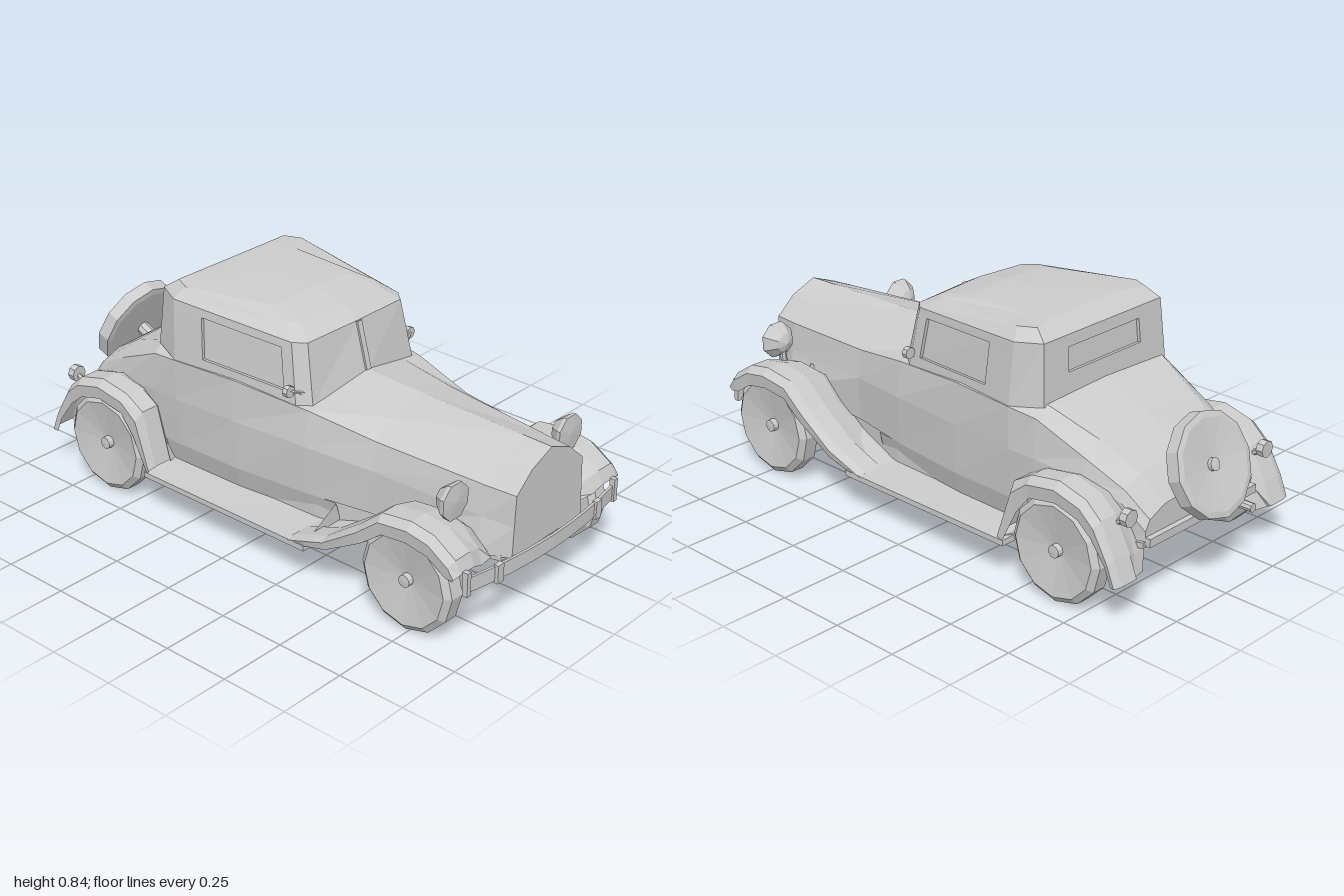
import * as THREE from 'three';

const mat = new THREE.MeshStandardMaterial({ color: 0xcccccc, flatShading: true, side: THREE.DoubleSide });
const V = (p) => new THREE.Vector3(...p);

function add(parent, name, geo, pos = [0, 0, 0], rot = [0, 0, 0]) {
  const m = new THREE.Mesh(geo, mat);
  m.name = name;
  m.position.set(...pos);
  m.rotation.set(...rot);
  parent.add(m);
  return m;
}

// Flat-shaded geometry from a list of quads (four corners each)
function quadGeometry(quads) {
  const pts = quads.flatMap(([a, b, c, d]) => [a, b, c, a, c, d]);
  const g = new THREE.BufferGeometry().setFromPoints(pts);
  g.computeVertexNormals();
  return g;
}

// Skin over rows of points, optionally closing both ends with fans
function loft(rows, capped = false) {
  const r = rows.map((row) => row.map(V));
  const quads = [];
  for (let i = 0; i < r.length - 1; i++)
    for (let j = 0; j < r[i].length - 1; j++)
      quads.push([r[i][j], r[i + 1][j], r[i + 1][j + 1], r[i][j + 1]]);
  if (capped) {
    for (const [row, flip] of [[r[0], false], [r[r.length - 1], true]])
      for (let j = 1; j < row.length - 1; j++) {
        const t = flip ? [row[0], row[j + 1], row[j]] : [row[0], row[j], row[j + 1]];
        quads.push([...t, t[2]]);
      }
  }
  return quadGeometry(quads);
}

// Half section (+x, bottom to top centre) mirrored into a full one
const fullSection = (z, half) => [
  ...half.map(([x, y]) => [x, y, z]),
  ...half.slice(0, -1).reverse().map(([x, y]) => [-x, y, z]),
];

// Quad panel with a recessed window; u, v give the opening
function windowPanel(a, b, c, d, [u0, u1, v0, v1], depth = 0.012) {
  const n = b.clone().sub(a).cross(d.clone().sub(a)).normalize().multiplyScalar(-depth);
  const P = (u, v) => a.clone().lerp(b, u).lerp(d.clone().lerp(c, u), v);
  const us = [0, u0, u1, 1], vs = [0, v0, v1, 1], out = [];
  for (let i = 0; i < 3; i++)
    for (let j = 0; j < 3; j++)
      if (i !== 1 || j !== 1)
        out.push([P(us[i], vs[j]), P(us[i + 1], vs[j]), P(us[i + 1], vs[j + 1]), P(us[i], vs[j + 1])]);
  const rim = [P(u0, v0), P(u1, v0), P(u1, v1), P(u0, v1)];
  const pane = rim.map((p) => p.clone().add(n));
  rim.forEach((p, i) => out.push([p, rim[(i + 1) % 4], pane[(i + 1) % 4], pane[i]]));
  out.push(pane);
  return out;
}

// Rod between two points
function rod(parent, name, p, q, radius, sides = 6) {
  const a = V(p), b = V(q), dir = b.clone().sub(a);
  const m = add(parent, name, new THREE.CylinderGeometry(radius, radius, dir.length(), sides));
  m.position.copy(a).add(b).multiplyScalar(0.5);
  m.quaternion.setFromUnitVectors(new THREE.Vector3(0, 1, 0), dir.normalize());
}

// Dished wheel; tread is the flat share of the tyre width
function wheelGeometry(r, w, tread) {
  const profile = [[0, -w], [r * 0.88, -w], [r, -w * tread], [r, w * tread], [r * 0.88, w],
    [0.022, w * 0.45], [0.022, w * 0.95], [0, w]];
  return new THREE.LatheGeometry(profile.map(([x, y]) => new THREE.Vector2(x, y)), 12);
}

function buildCabin(group) {
  const ring = (h) => [...h, ...h.slice(1).reverse().map(([x, y, z]) => [-x, y, z])].map(V);
  // front centre, front corner, side front, side rear, rear corner
  const belt = ring([[0, 0.59, 0.215], [0.255, 0.55, 0.195], [0.29, 0.55, 0.15], [0.343, 0.57, -0.36], [0.3, 0.585, -0.475]]);
  const eave = ring([[0, 0.765, 0.168], [0.235, 0.758, 0.155], [0.27, 0.76, 0.115], [0.328, 0.79, -0.37], [0.285, 0.795, -0.46]]);
  const roof = ring([[0, 0.802, 0.1], [0.2, 0.797, 0.09], [0.228, 0.8, 0.05], [0.29, 0.828, -0.35], [0.262, 0.83, -0.41]]);
  const crown = ring([[0, 0.828, -0.03], [0.17, 0.822, -0.03], [0.2, 0.822, -0.06], [0.2, 0.833, -0.34], [0.18, 0.834, -0.39]]);
  const windows = { 2: [0.09, 0.76, 0.18, 0.86], 4: [0.2, 0.8, 0.4, 0.8], 6: [0.24, 0.91, 0.18, 0.86] };
  const walls = [], top = [];
  const n = belt.length, mid = new THREE.Vector3(0, 0.838, -0.2);
  for (let i = 0; i < n; i++) {
    const k = (i + 1) % n;
    const q = [belt[i], belt[k], eave[k], eave[i]];
    walls.push(...(windows[i] ? windowPanel(...q, windows[i]) : [q]));
    top.push([eave[i], eave[k], roof[k], roof[i]], [roof[i], roof[k], crown[k], crown[i]], [crown[i], crown[k], mid, mid]);
  }
  add(group, 'cabinWalls', quadGeometry(walls));
  add(group, 'roof', quadGeometry(top));
  add(group, 'windshieldDivider', new THREE.BoxGeometry(0.022, 0.17, 0.012), [0, 0.68, 0.191], [-0.262, 0, 0]);
}

export function createModel() {
  const car = new THREE.Group();
  car.name = 'car';

  // Hood, body sides and rear deck
  const stations = [
    [0.97, [[0.185, 0.25], [0.18, 0.36], [0.175, 0.47], [0.1, 0.535], [0, 0.575]]],
    [0.86, [[0.235, 0.25], [0.205, 0.37], [0.19, 0.475], [0.11, 0.54], [0, 0.578]]],
    [0.45, [[0.25, 0.24], [0.255, 0.4], [0.235, 0.5], [0.15, 0.555], [0, 0.588]]],
    [0.2, [[0.295, 0.24], [0.305, 0.42], [0.285, 0.545], [0.2, 0.56], [0, 0.6]]],
    [-0.1, [[0.325, 0.24], [0.33, 0.42], [0.322, 0.57], [0.2, 0.59], [0, 0.6]]],
    [-0.36, [[0.33, 0.24], [0.344, 0.42], [0.345, 0.57], [0.285, 0.595], [0, 0.605]]],
    [-0.47, [[0.33, 0.24], [0.34, 0.42], [0.33, 0.555], [0.285, 0.595], [0, 0.605]]],
    [-0.66, [[0.31, 0.24], [0.32, 0.4], [0.305, 0.47], [0.24, 0.515], [0, 0.53]]],
    [-0.8, [[0.29, 0.24], [0.295, 0.36], [0.28, 0.4], [0.2, 0.43], [0, 0.44]]],
    [-0.88, [[0.27, 0.24], [0.27, 0.28], [0.25, 0.315], [0.18, 0.345], [0, 0.36]]],
  ];
  add(car, 'body', loft(stations.map(([z, h]) => fullSection(z, h)), true));
  buildCabin(car);

  // Chassis floor: z, half width, underside height, half width at the top
  const floor = [
    [0.94, 0.2, 0.235, 0.19], [0.63, 0.24, 0.215, 0.22], [0.52, 0.34, 0.2, 0.23], [0.23, 0.425, 0.127, 0.28],
    [-0.4, 0.43, 0.13, 0.3], [-0.47, 0.33, 0.15, 0.3], [-0.88, 0.28, 0.225, 0.27],
  ];
  add(car, 'floor', loft(floor.map(([z, w, y, t]) => [
    [0, y, z], [w, y, z], [w, y + 0.02, z], [t, y + 0.022, z], [t, 0.26, z],
    [-t, 0.26, z], [-t, y + 0.022, z], [-w, y + 0.02, z], [-w, y, z], [0, y, z],
  ]), true));
  add(car, 'rearApron', new THREE.BoxGeometry(0.54, 0.03, 0.03), [0, 0.245, -0.885]);

  // Fender stations: crown z, y, lip z, y, inner x
  const frontFender = [
    [0.945, 0.285, 0.93, 0.265, 0.3], [0.925, 0.33, 0.9, 0.27, 0.285], [0.84, 0.385, 0.83, 0.315, 0.27],
    [0.75, 0.4, 0.745, 0.33, 0.265], [0.63, 0.385, 0.645, 0.32, 0.26], [0.54, 0.31, 0.56, 0.255, 0.27],
    [0.4, 0.21, 0.41, 0.17, 0.29], [0.25, 0.155, 0.25, 0.13, 0.34],
  ];
  const rearFender = [
    [-0.4, 0.17, -0.42, 0.14, 0.33], [-0.455, 0.365, -0.485, 0.27, 0.32], [-0.53, 0.41, -0.54, 0.34, 0.31],
    [-0.65, 0.43, -0.65, 0.36, 0.3], [-0.76, 0.402, -0.745, 0.335, 0.29], [-0.82, 0.35, -0.8, 0.29, 0.29],
    [-0.88, 0.235, -0.86, 0.21, 0.31], [-0.912, 0.155, -0.885, 0.15, 0.345],
  ];

  for (const s of [1, -1]) {
    const side = s > 0 ? 'left' : 'right';
    const orient = (row) => {
      const r = row.map(([x, y, z]) => [s * x, y, z]);
      return s > 0 ? r : r.reverse();
    };
    const fender = (list) => loft(list.map(([z, y, lz, ly, xi]) => orient([
      [0.438, ly, lz], [0.444, (y * 2 + ly) / 3, (z * 2 + lz) / 3], [0.415, y, z],
      [Math.max(xi, 0.345), y, z], [xi, Math.max(y - 0.02, ly), (z + lz) / 2], [xi - 0.06, Math.max(y - 0.1, ly), lz],
    ])));
    add(car, side + 'FrontFender', fender(frontFender));
    add(car, side + 'RearFender', fender(rearFender));

    // Running board under an undercut valance
    add(car, side + 'RunningBoard', loft([[0.32, 0.28], [0.2, 0.295], [-0.1, 0.325], [-0.43, 0.33]].map(([z, x]) => orient([
      [x - 0.03, 0.128, z], [0.443, 0.13, z], [0.443, 0.15, z], [x - 0.025, 0.157, z], [x, 0.242, z],
    ])), true));

    // Road wheels and stub axles
    for (const [name, z] of [['FrontWheel', 0.735], ['RearWheel', -0.64]]) {
      add(car, side + name, wheelGeometry(0.183, 0.043, 0.6), [s * 0.39, 0.183, z], [0, 0, -s * Math.PI / 2]);
      rod(car, side + name + 'Axle', [s * 0.36, 0.183, z], [s * 0.18, 0.255, z], 0.016, 8);
    }

    // Headlight with bracket
    const lamp = [[0, -0.038], [0.035, -0.025], [0.066, 0.015], [0.067, 0.028], [0, 0.034]];
    const lampGeo = new THREE.LatheGeometry(lamp.map(([x, y]) => new THREE.Vector2(x, y)), 8, Math.PI / 8);
    add(car, side + 'Headlight', lampGeo, [s * 0.304, 0.455, 0.805], [Math.PI / 2, 0, 0]);
    rod(car, side + 'HeadlightPost', [s * 0.305, 0.42, 0.795], [s * 0.3, 0.36, 0.795], 0.012);
    add(car, side + 'HoodKnob', new THREE.SphereGeometry(0.016, 6, 4), [s * 0.222, 0.35, 0.73]);

    // Tail lamp
    rod(car, side + 'TailLamp', [s * 0.345, 0.355, -0.858], [s * 0.345, 0.355, -0.885], 0.03, 8);
    rod(car, side + 'TailLampStem', [s * 0.345, 0.35, -0.865], [s * 0.345, 0.32, -0.82], 0.01);

    // Door mirror
    rod(car, side + 'MirrorArm', [s * 0.26, 0.59, 0.165], [s * 0.31, 0.603, 0.14], 0.006);
    rod(car, side + 'Mirror', [s * 0.308, 0.603, 0.145], [s * 0.308, 0.603, 0.125], 0.021, 8);

    // Bumper fittings
    add(car, side + 'BumperEnd', new THREE.BoxGeometry(0.018, 0.085, 0.02), [s * 0.395, 0.25, 0.955]);
    add(car, side + 'BumperClamp', new THREE.BoxGeometry(0.03, 0.066, 0.018), [s * 0.265, 0.241, 0.98]);
    rod(car, side + 'BumperBracket', [s * 0.07, 0.24, 0.93], [s * 0.07, 0.24, 0.995], 0.01);
  }

  // Curved front bumper blade
  const blade = [];
  for (let i = 0; i <= 8; i++) {
    const x = -0.4 + i * 0.1, z = 0.998 - 0.043 * (x / 0.4) ** 2;
    blade.push([[x, 0.215, z], [x, 0.267, z], [x, 0.267, z - 0.01], [x, 0.215, z - 0.01], [x, 0.215, z]].reverse());
  }
  add(car, 'frontBumper', loft(blade, true));

  // Exhaust
  rod(car, 'exhaust', [-0.165, 0.235, -0.82], [-0.165, 0.235, -0.97], 0.016, 8);

  // Tilted spare wheel on its mount
  add(car, 'spareWheel', wheelGeometry(0.176, 0.028, 0.85), [0, 0.428, -0.91], [-Math.PI / 2 + 0.38, 0, 0]);
  rod(car, 'spareMount', [0, 0.37, -0.8], [0, 0.42, -0.9], 0.025, 8);

  return car;
}
